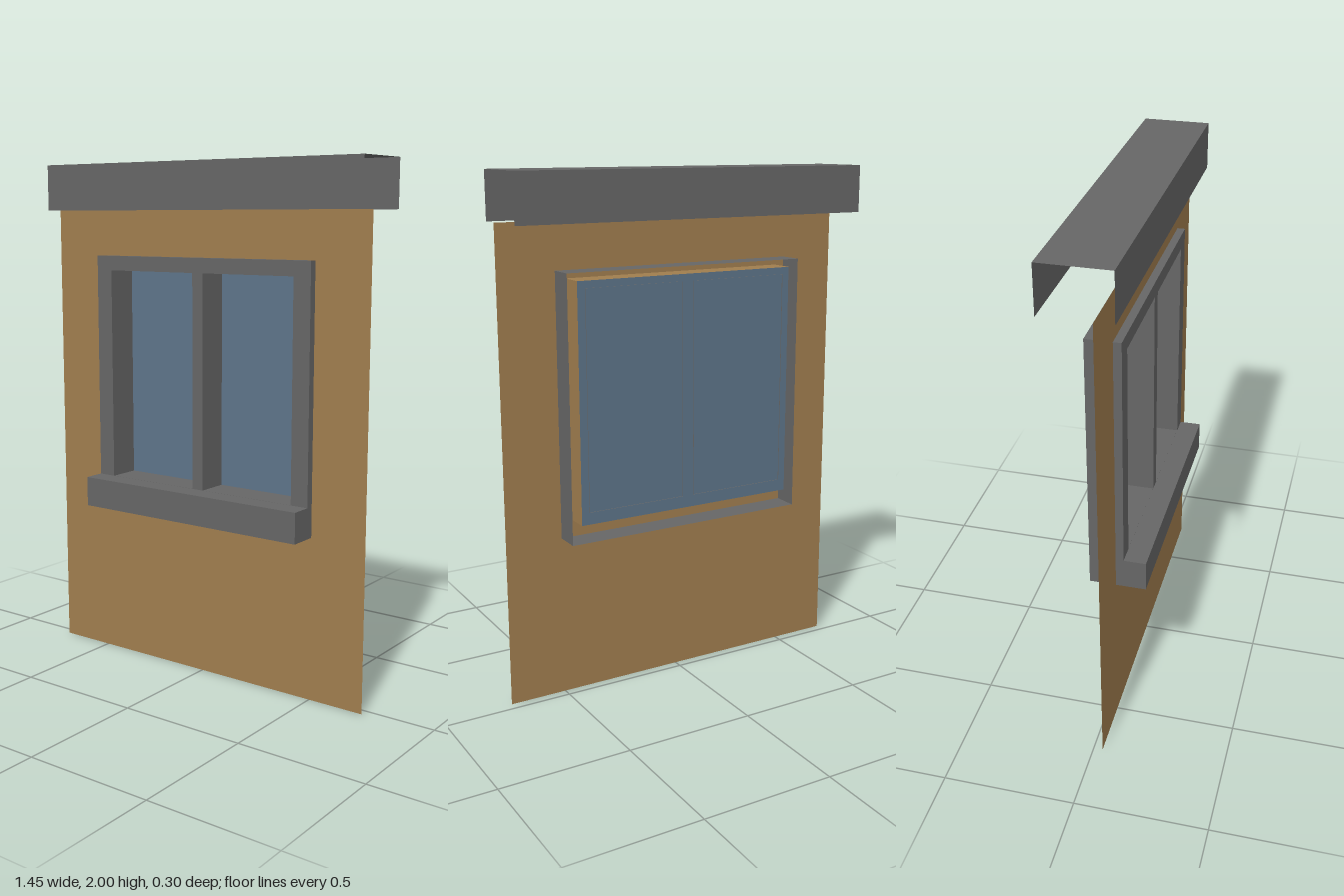
import * as THREE from 'three';

const sheet = (name, color) => {
  const m = new THREE.MeshStandardMaterial({ color, side: THREE.DoubleSide });
  m.name = name;
  return m;
};

// Axis-aligned flat sheet between two corners; one axis has no extent.
function panel(parent, name, mat, a, b) {
  const [w, h, d] = a.map((v, i) => Math.abs(b[i] - v));
  let geo;
  if (w === 0) geo = new THREE.PlaneGeometry(d, h).rotateY(Math.PI / 2);
  else if (h === 0) geo = new THREE.PlaneGeometry(w, d).rotateX(-Math.PI / 2);
  else geo = new THREE.PlaneGeometry(w, h);
  const mesh = new THREE.Mesh(geo, mat);
  mesh.name = name;
  mesh.position.set(...a.map((v, i) => (v + b[i]) / 2));
  parent.add(mesh);
}

const rect = (Type, x0, y0, x1, y1) => new Type([
  new THREE.Vector2(x0, y0), new THREE.Vector2(x1, y0),
  new THREE.Vector2(x1, y1), new THREE.Vector2(x0, y1),
]);

// Upright sheet with rectangular openings.
function pierced(parent, name, mat, z, outer, openings) {
  const shape = rect(THREE.Shape, ...outer);
  openings.forEach((o) => shape.holes.push(rect(THREE.Path, ...o)));
  const mesh = new THREE.Mesh(new THREE.ShapeGeometry(shape), mat);
  mesh.name = name;
  mesh.position.z = z;
  parent.add(mesh);
}

export function createModel() {
  const model = new THREE.Group();
  model.name = 'windowWall';
  const ochre = sheet('ochre plaster', 0xa07d4e);
  const grey = sheet('grey trim', 0x666666);
  const blue = sheet('blue glass', 0x5d7489);
  const group = (name) => {
    const g = new THREE.Group();
    g.name = name;
    model.add(g);
    return g;
  };

  const W = 0.726, wallTop = 1.82, wallZ = 0.035;
  const F = 0.065, B = -0.065, glassZ = -0.061; // trim front, trim back, glass
  const out = 0.5, inn = 0.428, mid = 0.024; // jamb outer and inner, half mullion
  const sillLow = 0.63, sillTop = 0.748, headLow = 1.585, headTop = 1.642;
  const hx = 0.459, hy0 = 0.7, hy1 = 1.612; // opening in the wall

  // Wall sheet with lined opening
  const wall = group('wall');
  pierced(wall, 'wallFace', ochre, wallZ, [-W, 0, W, wallTop], [[-hx, hy0, hx, hy1]]);
  for (const s of [-1, 1]) panel(wall, 'revealSide', ochre, [s * hx, hy0, glassZ], [s * hx, hy1, wallZ]);
  for (const y of [hy0, hy1]) panel(wall, 'revealEdge', ochre, [-hx, y, glassZ], [hx, y, wallZ]);

  // Cornice: folded cover, open below and at both ends
  const cornice = group('cornice');
  const c0 = -0.15, c1 = 0.105;
  panel(cornice, 'corniceTop', grey, [-W, 2, c0], [W, 2, c1]);
  for (const z of [c0, c1]) panel(cornice, 'corniceSide', grey, [-W, wallTop, z], [W, 2, z]);

  // Glass
  panel(model, 'glass', blue, [-hx, hy0, glassZ], [hx, hy1, glassZ]);

  // Window frame: hollow jambs, head and mullion, open at the back
  const frame = group('windowFrame');
  pierced(frame, 'frameFace', grey, F, [-out, sillTop, out, headTop],
    [[-inn, sillTop + 0.0005, -mid, headLow], [mid, sillTop + 0.0005, inn, headLow]]);
  panel(frame, 'headTop', grey, [-out, headTop, B], [out, headTop, F]);
  for (const s of [-1, 1]) {
    panel(frame, 'jambOuter', grey, [s * out, sillTop, B], [s * out, headTop, F]);
    panel(frame, 'jambInner', grey, [s * inn, sillTop, B], [s * inn, headLow, F]);
    panel(frame, 'mullionSide', grey, [s * mid, sillTop, B], [s * mid, headLow, F]);
    panel(frame, 'headUnderside', grey, [s * mid, headLow, B], [s * inn, headLow, F]);
  }

  // Projecting sill
  const sill = group('sill');
  const S = 0.149;
  panel(sill, 'sillFront', grey, [-out, sillLow, S], [out, sillTop, S]);
  panel(sill, 'sillBottom', grey, [-out, sillLow, B], [out, sillLow, S]);
  panel(sill, 'sillLedge', grey, [-out, sillTop, F], [out, sillTop, S]);
  for (const s of [-1, 1]) {
    panel(sill, 'sillEnd', grey, [s * out, sillLow, B], [s * out, sillTop, S]);
    panel(sill, 'sillInner', grey, [s * mid, sillTop, B], [s * inn, sillTop, F]);
  }
  return model;
}
